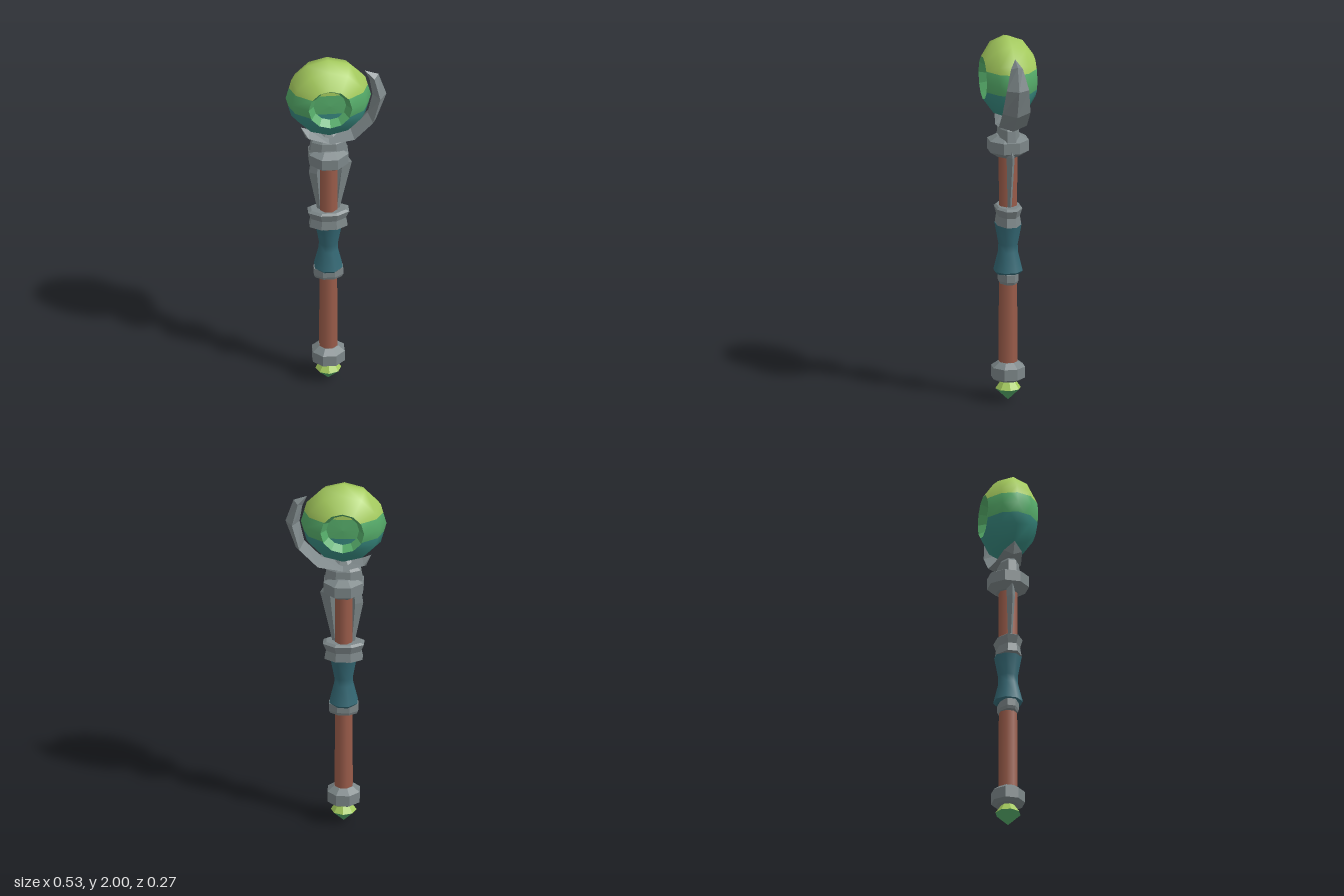
import * as THREE from 'three';

const mat = (name, color) => Object.assign(new THREE.MeshStandardMaterial({ color, side: THREE.DoubleSide }), { name });
const CX = -0.042, ORB_Y = 1.775;

// Lathe from [radius, y] pairs, optionally faceted
function lathe(points, sides = 8, flat = true, phase = Math.PI / sides) {
  let g = new THREE.LatheGeometry(points.map(p => new THREE.Vector2(...p)), sides, phase);
  if (flat) { g = g.toNonIndexed(); g.computeVertexNormals(); }
  return g;
}

// Faceted blade with a diamond section; stations are [outerX, outerY, innerX, innerY, halfDepth]
function blade(stations) {
  const rings = stations.map(([ox, oy, ix, iy, h]) => {
    const mx = (ox + ix) / 2, my = (oy + iy) / 2;
    return [[ox, oy, 0], [mx, my, h], [ix, iy, 0], [mx, my, -h]];
  });
  const pos = [];
  for (let i = 0; i < rings.length - 1; i++) for (let j = 0; j < 4; j++) {
    const k = (j + 1) % 4, a = rings[i][j], b = rings[i + 1][j], c = rings[i + 1][k], d = rings[i][k];
    pos.push(...a, ...b, ...d, ...b, ...c, ...d);
  }
  const g = new THREE.BufferGeometry();
  g.setAttribute('position', new THREE.Float32BufferAttribute(pos, 3));
  g.computeVertexNormals();
  return g;
}

// Keep the part of a polygon where sign * (y - level) >= 0
function clip(poly, level, sign) {
  const out = [];
  poly.forEach((a, i) => {
    const b = poly[(i + 1) % poly.length];
    const da = sign * (a[1] - level), db = sign * (b[1] - level);
    if (da >= 0) out.push(a);
    if (da * db < 0) out.push(a.map((v, n) => v + (b[n] - v) * da / (da - db)));
  });
  return out;
}

// Slice of a geometry between two heights, keeping its normals
function slice(geometry, low, high) {
  const g = geometry.index ? geometry.toNonIndexed() : geometry;
  const p = g.attributes.position, n = g.attributes.normal, pos = [], nor = [];
  for (let i = 0; i < p.count; i += 3) {
    const tri = [0, 1, 2].map(k => [p.getX(i + k), p.getY(i + k), p.getZ(i + k), n.getX(i + k), n.getY(i + k), n.getZ(i + k)]);
    const poly = clip(clip(tri, low, 1), high, -1);
    for (let k = 1; k < poly.length - 1; k++) for (const v of [poly[0], poly[k], poly[k + 1]]) {
      pos.push(...v.slice(0, 3));
      nor.push(...v.slice(3));
    }
  }
  const out = new THREE.BufferGeometry();
  out.setAttribute('position', new THREE.Float32BufferAttribute(pos, 3));
  out.setAttribute('normal', new THREE.Float32BufferAttribute(nor, 3));
  return out;
}

export function createModel() {
  const model = new THREE.Group();
  model.name = 'staff';
  const metal = mat('grey metal', 0x7c8688), wood = mat('red wood', 0x9a5c4a), cloth = mat('blue wrap', 0x346874);
  const lime = mat('lime', 0xa5cb5e), green = mat('green', 0x55ab69), teal = mat('teal', 0x388a80);

  const add = (name, geometry, material, parent = model) => {
    const m = new THREE.Mesh(geometry, material);
    m.name = name;
    parent.add(m);
    return m;
  };
  const turned = (name, points, material, flat = true, depth = 1) => {
    const m = add(name, lathe(points.map(([r, y]) => [r / Math.cos(Math.PI / 8), y]), 8, flat), material);
    m.position.x = CX;
    m.scale.z = depth;
    return m;
  };

  // Gem at the foot
  add('gemLower', lathe([[0, 0.005], [0.068, 0.07]], 8, true, 0), green).position.x = CX;
  add('gemUpper', lathe([[0.068, 0.07], [0.03, 0.125]], 8, true, 0), lime).position.x = CX;

  // Shaft, grip and metal fittings
  turned('shaft', [[0.047, 0.18], [0.045, 0.7], [0.046, 1.4]], wood, false);
  turned('footCollar', [[0, 0.115], [0.06, 0.115], [0.084, 0.13], [0.084, 0.19], [0.05, 0.217], [0, 0.217]], metal);
  turned('gripClasp', [[0.045, 0.65], [0.07, 0.65], [0.077, 0.665], [0.077, 0.705], [0.045, 0.705]], metal, true, 0.66);
  turned('gripWrap', [[0.045, 0.7], [0.06, 0.7], [0.073, 0.715]], cloth);
  turned('gripWrapUpper', [[0.073, 0.715], [0.049, 0.82], [0.048, 0.86], [0.068, 0.975]], cloth, false);
  turned('gripBand', [[0.04, 0.972], [0.1, 0.972], [0.09, 1.02], [0.108, 1.062], [0.09, 1.072], [0.04, 1.072]], metal, true, 0.63);
  turned('headCollar', [[0.045, 1.345], [0.06, 1.345], [0.103, 1.375], [0.103, 1.435], [0.06, 1.46], [0, 1.46]], metal);
  turned('neck', [[0.1, 1.435], [0.09, 1.5], [0.03, 1.56]], metal, true, 0.55);

  // Thin fins beside the upper shaft
  const fin = (name, side, y, out) => {
    const stations = [[0.055, 1.05, 0.03, 1.05, 0.01], [out, y, 0.02, y, 0.022], [0.085, 1.42, 0.02, 1.42, 0.022]]
      .map(([o, oy, i, iy, h]) => [CX + side * o, oy, CX + side * i, iy, h]);
    add(name, blade(side > 0 ? stations : stations.reverse()), metal);
  };
  fin('leftFin', 1, 1.357, 0.124);
  fin('rightFin', -1, 1.3, 0.103);

  // Crescent claw cradling the orb
  add('claw', blade([
    [-0.187, 1.585, -0.187, 1.585, 0],
    [-0.16, 1.52, -0.14, 1.565, 0.05],
    [-0.045, 1.495, -0.04, 1.54, 0.07],
    [0.105, 1.515, 0.075, 1.565, 0.075],
    [0.21, 1.62, 0.165, 1.66, 0.075],
    [0.264, 1.775, 0.19, 1.775, 0.06],
    [0.222, 1.9, 0.175, 1.87, 0.032],
    [0.15, 1.925, 0.15, 1.925, 0],
  ]), metal);

  // Flattened orb with a recessed eye on each face, in three colour bands
  const orb = new THREE.Group();
  orb.name = 'orb';
  orb.position.set(CX, ORB_Y, 0);
  model.add(orb);
  const bands = [['Top', 0.063, 1, lime], ['Middle', -0.05, 0.063, green], ['Bottom', -1, -0.05, teal]];
  const banded = (name, g) => bands.forEach(([label, low, high, m]) => add(name + label, slice(g, low, high), m, orb));
  const facing = (points, flat) => lathe(points, 12, flat, 0).rotateX(Math.PI / 2);
  banded('orbShell', facing([[0.115, -0.135], [0.195, -0.078], [0.225, 0], [0.195, 0.078], [0.115, 0.135]], false));
  for (const [side, turn] of [['front', 0], ['back', Math.PI]]) {
    add(side + 'EyeRim', facing([[0.115, 0.135], [0.086, 0.095]], true).rotateY(turn), green, orb);
    banded(side + 'Eye', facing([[0.086, 0.095], [0, 0.1]], false).rotateY(turn));
  }
  return model;
}
